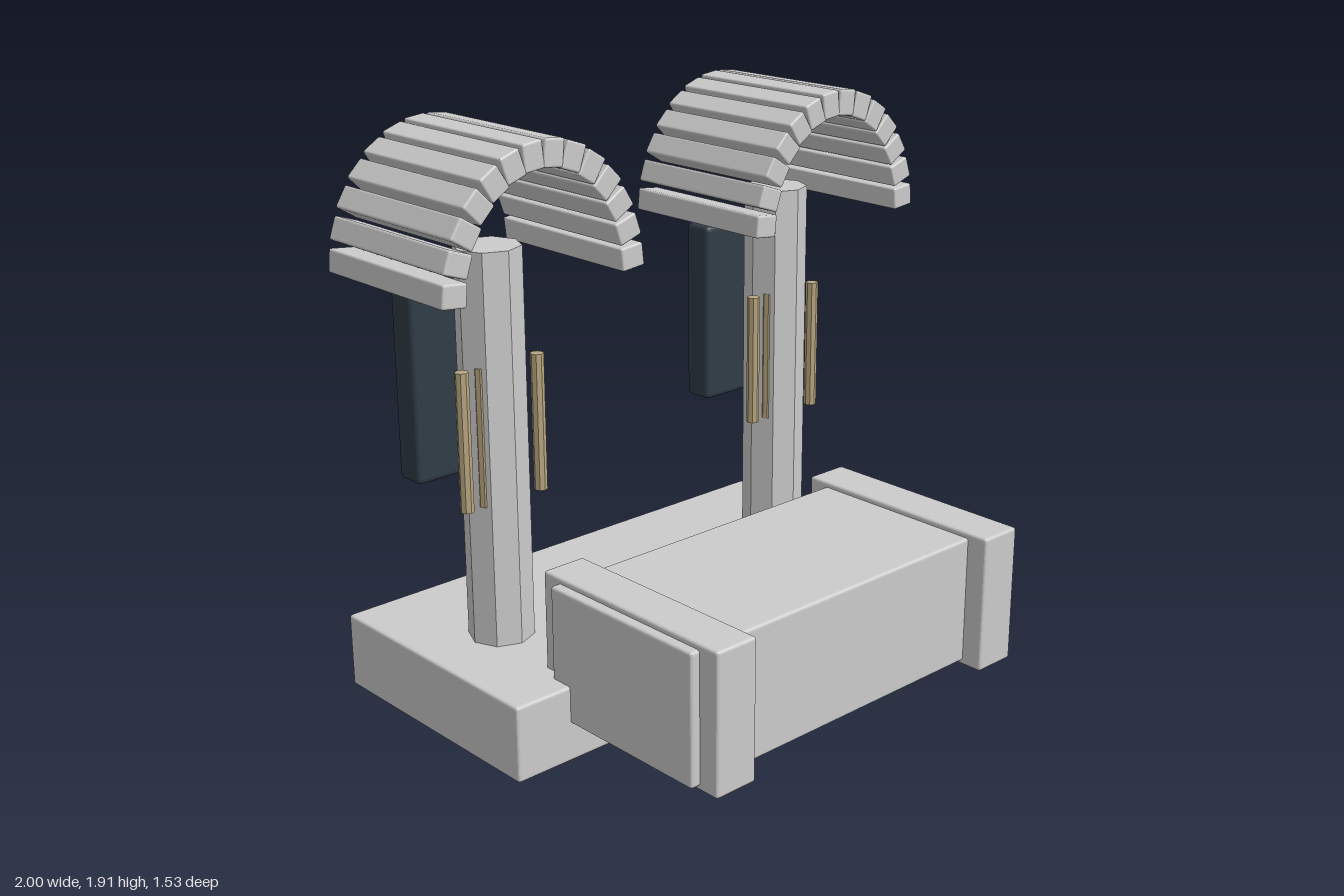
import * as THREE from 'three';
import { RoundedBoxGeometry } from 'three/addons/geometries/RoundedBoxGeometry.js';

const grey = new THREE.MeshStandardMaterial({ color: 0xcccccc, flatShading: true });
const dark = new THREE.MeshStandardMaterial({ color: 0x303c46, flatShading: true });
const tan = new THREE.MeshStandardMaterial({ color: 0xb8a680, flatShading: true });

function add(parent, name, geometry, material, x, y, z) {
  const mesh = new THREE.Mesh(geometry, material);
  mesh.name = name;
  mesh.position.set(x, y, z);
  parent.add(mesh);
  return mesh;
}

// Softly bevelled box given by its min and max on each axis
function block(parent, name, material, [x0, x1], [y0, y1], [z0, z1], bevel = 0.01) {
  const geometry = new RoundedBoxGeometry(x1 - x0, y1 - y0, z1 - z0, 2, bevel);
  return add(parent, name, geometry, material, (x0 + x1) / 2, (y0 + y1) / 2, (z0 + z1) / 2);
}

// Post with back panel, rods and a slatted arch, centred on its own x = 0
function createStation() {
  const station = new THREE.Group();
  add(station, 'post', new THREE.CylinderGeometry(0.108, 0.108, 1.32, 8), grey, 0, 0.89, -0.308);
  block(station, 'backPanel', dark, [-0.203, 0.203], [0.78, 1.41], [-0.545, -0.437], 0.018);

  const rod = new THREE.CylinderGeometry(0.022, 0.022, 0.455, 8);
  for (let i = -2; i <= 2; i++) add(station, 'rod', rod, tan, i * 0.0725, 0.958, -0.265);

  // Slats fanned along an elliptical arch
  const arch = new THREE.Group();
  arch.name = 'slattedArch';
  const slat = new RoundedBoxGeometry(0.087, 0.074, 0.588, 2, 0.007);
  const count = 14, start = 0.105;
  for (let i = 0; i < count; i++) {
    const a = start + (Math.PI - 2 * start) * i / (count - 1);
    const mesh = add(arch, 'slat', slat, grey, 0.334 * Math.cos(a), 1.465 + 0.405 * Math.sin(a), -0.309);
    mesh.rotation.z = a;
  }
  station.add(arch);
  return station;
}

export function createModel() {
  const model = new THREE.Group();
  model.name = 'twinPostStand';

  // Base slab and the box in front of it
  block(model, 'base', grey, [-0.908, 0.908], [0, 0.255], [-0.763, 0.143]);
  block(model, 'frontBox', grey, [-0.702, 0.702], [0.13, 0.565], [0.058, 0.69]);

  // Mirrored parts
  for (const side of [-1, 1]) {
    const band = block(model, 'boxBand', grey, [0.513, 0.669], [0.115, 0.583], [-0.015, 0.763]);
    band.position.x *= side;
    const station = createStation();
    station.name = side > 0 ? 'leftStation' : 'rightStation';
    station.position.x = side * 0.62;
    model.add(station);
  }
  return model;
}
